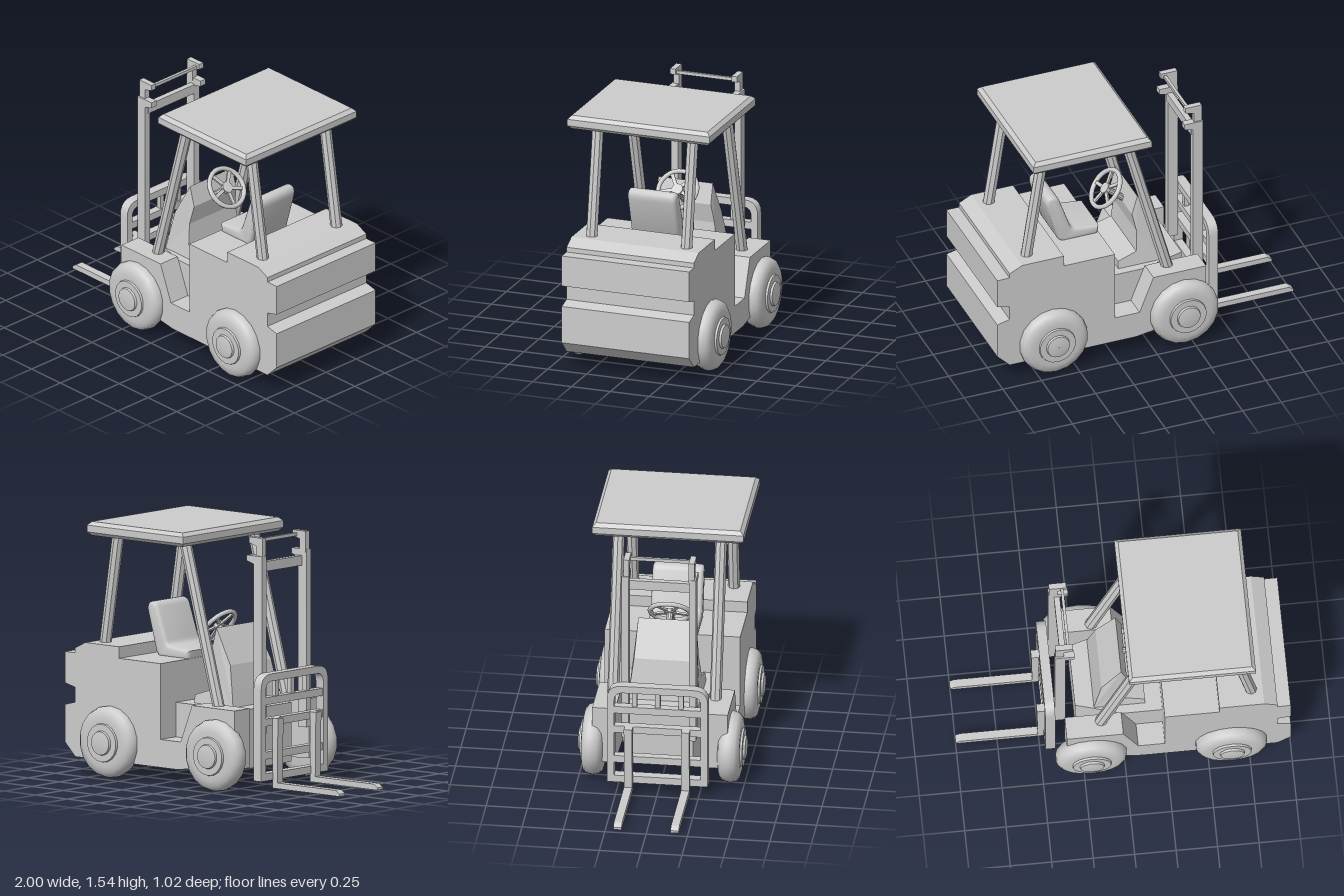
import * as THREE from 'three';
import { toCreasedNormals } from 'three/addons/utils/BufferGeometryUtils.js';

const material = new THREE.MeshStandardMaterial({ color: 0xcccccc });

function add(parent, name, geometry) {
  const mesh = new THREE.Mesh(geometry, material);
  mesh.name = name;
  parent.add(mesh);
  return mesh;
}

const outline = (pts) => new THREE.Shape(pts.map(([x, y]) => new THREE.Vector2(x, y)));

// Side profile (x, y) extruded between two z values
function slab(pts, z0, z1) {
  const g = new THREE.ExtrudeGeometry(outline(pts), { depth: z1 - z0, bevelEnabled: false });
  return g.translate(0, 0, z0);
}

function box(x0, x1, y0, y1, z0, z1) {
  return new THREE.BoxGeometry(x1 - x0, y1 - y0, z1 - z0)
    .translate((x0 + x1) / 2, (y0 + y1) / 2, (z0 + z1) / 2);
}

// Straight round bar between two points
function bar(a, b, r, sides = 8) {
  const p = new THREE.Vector3(...a), q = new THREE.Vector3(...b);
  const d = q.clone().sub(p);
  const g = new THREE.CylinderGeometry(r, r, d.length(), sides);
  g.applyQuaternion(new THREE.Quaternion().setFromUnitVectors(new THREE.Vector3(0, 1, 0), d.normalize()));
  p.add(q).multiplyScalar(0.5);
  return toCreasedNormals(g.translate(p.x, p.y, p.z), 0.5);
}

function roundRect(w, y0, y1, r) {
  const s = new THREE.Shape();
  s.moveTo(-w, y0).lineTo(w, y0).lineTo(w, y1 - r);
  s.quadraticCurveTo(w, y1, w - r, y1).lineTo(-w + r, y1);
  s.quadraticCurveTo(-w, y1, -w, y1 - r).lineTo(-w, y0);
  return s;
}

function buildBody(group) {
  // Rear counterweight with slot across the back
  add(group, 'rearBody', slab([
    [0.24, 0.1], [0.92, 0.1], [1, 0.18], [1, 0.41], [0.92, 0.43], [0.92, 0.52], [1, 0.54],
    [1, 0.73], [0.92, 0.73], [0.92, 0.76], [0.84, 0.8], [0.57, 0.8], [0.57, 0.73], [0.24, 0.73],
  ], -0.41, 0.41));

  // Front fenders running down into the side steps
  for (const s of [-1, 1]) {
    const z = [s * 0.27, s * 0.41].sort((a, b) => a - b);
    add(group, 'fenderAndStep', slab([
      [-0.35, 0.14], [-0.02, 0.12], [0.1, 0.1], [0.24, 0.1], [0.24, 0.27], [0.08, 0.27],
      [-0.01, 0.5], [-0.35, 0.5],
    ], ...z));
  }

  // Cab floor and narrowing chassis nose
  add(group, 'floor', box(0, 0.24, 0.1, 0.48, -0.27, 0.27));
  const nose = new THREE.ExtrudeGeometry(
    outline([[-0.28, -0.19], [0, -0.27], [0, 0.27], [-0.28, 0.19]]),
    { depth: 0.36, bevelEnabled: false });
  add(group, 'chassisNose', nose.rotateX(-Math.PI / 2).translate(0, 0.12, 0));

  // Dashboard cowl, wider towards the floor
  const cowl = slab([
    [-0.17, 0.47], [0.14, 0.47], [0.14, 0.53], [0.02, 0.57], [0.01, 0.7], [0.035, 0.82],
    [0.0, 0.945], [-0.12, 0.73], [-0.15, 0.58],
  ], -0.175, 0.175);
  const p = cowl.attributes.position;
  for (let i = 0; i < p.count; i++) {
    p.setZ(i, p.getZ(i) * (1 + 0.7 * Math.max(0, 0.82 - p.getY(i))));
  }
  cowl.computeVertexNormals();
  add(group, 'cowl', cowl);
}

function buildSeat(group) {
  const b = 0.022;
  const s = new THREE.Shape();
  s.moveTo(0.265, 0.74).lineTo(0.262, 0.758).lineTo(0.39, 0.772);
  s.quadraticCurveTo(0.43, 0.775, 0.445, 0.82);
  s.lineTo(0.512, 1.01).quadraticCurveTo(0.525, 1.035, 0.548, 1.025);
  s.quadraticCurveTo(0.556, 1.015, 0.55, 0.99);
  s.lineTo(0.485, 0.76).lineTo(0.47, 0.74);
  const g = new THREE.ExtrudeGeometry(s, {
    depth: 0.31 - 2 * b, bevelSize: b, bevelThickness: b, bevelSegments: 3, curveSegments: 6,
  }).translate(0, 0, -0.155 + b);
  add(group, 'seat', toCreasedNormals(g, 0.8));
}

function buildSteering(group) {
  const wheel = new THREE.Group();
  wheel.name = 'steeringWheel';
  add(wheel, 'rim', new THREE.TorusGeometry(0.122, 0.015, 8, 28));
  add(wheel, 'hub', new THREE.CylinderGeometry(0.035, 0.035, 0.025, 14).rotateX(Math.PI / 2));
  for (let i = 0; i < 5; i++) {
    const a = Math.PI / 2 + i * Math.PI * 2 / 5;
    add(wheel, 'spoke', box(0.02, 0.12, -0.011, 0.011, -0.006, 0.006).rotateZ(a));
  }
  wheel.position.set(0.135, 0.925, 0);
  wheel.quaternion.setFromUnitVectors(new THREE.Vector3(0, 0, 1), new THREE.Vector3(0.76, 0.65, 0).normalize());
  group.add(wheel);
  add(group, 'steeringColumn', bar([0, 0.81, 0], [0.135, 0.925, 0], 0.02, 10));
}

function buildRoof(group) {
  const c = 0.022;
  const panel = new THREE.ExtrudeGeometry(
    outline([[0.02 + c, -0.458 + c], [0.785 - c, -0.458 + c], [0.785 - c, 0.458 - c], [0.02 + c, 0.458 - c]]),
    { depth: 0.085 - 2 * c, bevelSize: c, bevelThickness: c, bevelSegments: 1 });
  add(group, 'roof', panel.rotateX(-Math.PI / 2).translate(0, 1.46 + c, 0));
  for (const s of [-1, 1]) {
    add(group, 'frontPost', bar([-0.14, 0.48, s * 0.31], [0.133, 1.48, s * 0.31], 0.036));
    add(group, 'rearPost', bar([0.772, 0.78, s * 0.305], [0.665, 1.48, s * 0.305], 0.036));
  }
}

function buildWheels(group) {
  // Half profile: radius against distance along the axle
  const profile = [
    [0.001, 0], [0.15, 0], [0.185, 0.008], [0.208, 0.03], [0.217, 0.06], [0.217, 0.08], [0.207, 0.108],
    [0.185, 0.125], [0.15, 0.132], [0.118, 0.132], [0.115, 0.145], [0.075, 0.145],
    [0.071, 0.158], [0.04, 0.163], [0.001, 0.165],
  ].map(([r, y]) => new THREE.Vector2(r, y));
  const tyre = toCreasedNormals(new THREE.LatheGeometry(profile, 18).rotateX(Math.PI / 2), 0.65);
  for (const [x, name] of [[-0.205, 'frontWheel'], [0.64, 'rearWheel']]) {
    for (const s of [-1, 1]) {
      const w = add(group, name, tyre);
      w.position.set(x, 0.218, s * 0.347);
      if (s < 0) w.rotation.y = Math.PI;
    }
  }
}

function buildMast(group) {
  for (const s of [-1, 1]) {
    const z = (a, b) => [s * a, s * b].sort((m, n) => m - n);
    // Outer rail with bracket, and inner rail standing above it
    add(group, 'outerRail', slab([
      [-0.405, 0.34], [-0.34, 0.34], [-0.34, 1.37], [-0.285, 1.385], [-0.285, 1.42], [-0.405, 1.42],
    ], ...z(0.182, 0.225)));
    add(group, 'innerRail', slab([
      [-0.4, 1.4], [-0.35, 1.4], [-0.35, 1.48], [-0.295, 1.495], [-0.295, 1.53], [-0.4, 1.53],
    ], ...z(0.18, 0.215)));
  }
  add(group, 'mastCrossbar', box(-0.37, -0.335, 1.32, 1.38, -0.2, 0.2));
  add(group, 'mastTopRod', box(-0.33, -0.312, 1.495, 1.515, -0.19, 0.19));
}

function buildCarriage(group) {
  // Load backrest frame with rounded top corners
  const frame = roundRect(0.305, 0.07, 0.715, 0.09);
  frame.holes.push(new THREE.Path(roundRect(0.262, 0.115, 0.67, 0.055).getPoints(5)));
  const g = new THREE.ExtrudeGeometry(frame, { depth: 0.06, bevelEnabled: false, curveSegments: 5 });
  add(group, 'backrestFrame', toCreasedNormals(g.rotateY(-Math.PI / 2).translate(-0.41, 0, 0), 0.5));
  for (const y of [0.2, 0.4, 0.53]) {
    add(group, 'carriageBar', box(-0.465, -0.415, y, y + 0.045, -0.27, 0.27));
  }
  for (const z of [-0.14, 0, 0.14]) {
    add(group, 'backrestUpright', box(-0.455, -0.425, 0.55, 0.69, z - 0.015, z + 0.015));
  }
  // Forks with bevelled tips
  for (const s of [-1, 1]) {
    add(group, 'fork', slab([
      [-0.465, 0.02], [-0.465, 0.445], [-0.51, 0.445], [-0.505, 0.055], [-0.97, 0.055],
      [-1, 0.035], [-1, 0.02],
    ], s * 0.173 - 0.025, s * 0.173 + 0.025));
  }
}

export function createModel() {
  const model = new THREE.Group();
  model.name = 'forklift';
  const parts = {
    body: buildBody, driverSeat: buildSeat, steering: buildSteering, canopy: buildRoof,
    wheels: buildWheels, mast: buildMast, carriage: buildCarriage,
  };
  for (const [name, build] of Object.entries(parts)) {
    const group = new THREE.Group();
    group.name = name;
    build(group);
    model.add(group);
  }
  return model;
}
